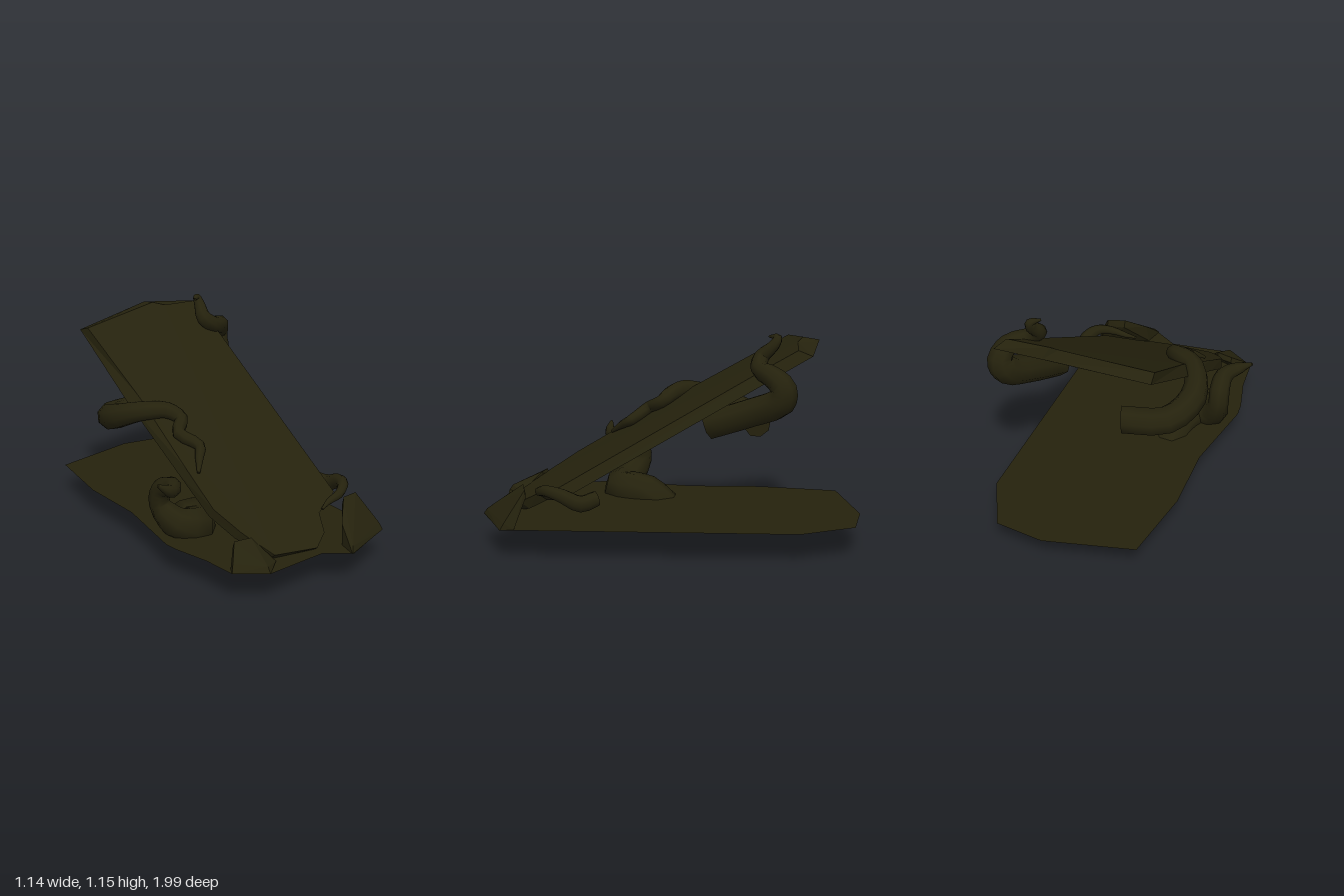
import * as THREE from 'three';
import { ConvexGeometry } from 'three/addons/geometries/ConvexGeometry.js';

const V = (a) => new THREE.Vector3(a[0], a[1], a[2]);

// Tapered tentacle: path points are [x, y, z, radius]; flat cap on the thick end
function tentacleGeometry(path, sides = 8) {
  const curve = new THREE.CatmullRomCurve3(path.map(V), false, 'centripetal');
  const steps = (path.length - 1) * 3;
  const pos = [], index = [];
  const last = path.length - 1;
  // carry one normal along the path so the tube does not twist
  const n = new THREE.Vector3(0.3, 1, 0.2);
  for (let i = 0; i <= steps; i++) {
    const center = curve.getPoint(i / steps);
    const t = curve.getTangent(i / steps);
    n.addScaledVector(t, -n.dot(t)).normalize();
    const b = new THREE.Vector3().crossVectors(t, n);
    const f = (i / steps) * last, k = Math.min(Math.floor(f), last - 1);
    const r = THREE.MathUtils.lerp(path[k][3], path[k + 1][3], f - k);
    for (let j = 0; j < sides; j++) {
      const a = (j / sides) * Math.PI * 2;
      const p = center.clone().addScaledVector(n, r * Math.cos(a)).addScaledVector(b, r * Math.sin(a));
      pos.push(p.x, p.y, p.z);
    }
  }
  for (let i = 0; i < steps; i++) {
    for (let j = 0; j < sides; j++) {
      const k = (j + 1) % sides;
      const a = i * sides + j, b = i * sides + k, c = b + sides, d = a + sides;
      index.push(a, b, c, a, c, d);
    }
  }
  // separate cap vertices keep the rims sharp
  for (const end of [0, steps]) {
    const s = pos.length / 3;
    for (let j = 0; j < sides; j++) {
      const o = (end * sides + j) * 3;
      pos.push(pos[o], pos[o + 1], pos[o + 2]);
    }
    for (let j = 1; j < sides - 1; j++) {
      if (end === 0) index.push(s, s + j + 1, s + j);
      else index.push(s, s + j, s + j + 1);
    }
  }
  const g = new THREE.BufferGeometry();
  g.setAttribute('position', new THREE.Float32BufferAttribute(pos, 3));
  g.setIndex(index);
  g.computeVertexNormals();
  return g;
}

// Tilted slab: rows are [top x, top z, bottom x, bottom z, drop], counterclockwise from above
function slabGeometry(rows) {
  const n = rows.length, pos = [], index = [];
  for (const [x, z, , , drop = 0] of rows) pos.push(x, 0.715 - 0.6 * z - drop, z);
  for (const [, , x, z, drop = 0] of rows) pos.push(x, 0.65 - 0.6 * z - drop, z);
  const cap = (o) => THREE.ShapeUtils.triangulateShape(rows.map((r) => new THREE.Vector2(r[o], -r[o + 1])), []);
  for (const [a, b, c] of cap(0)) index.push(a, b, c);
  for (const [a, b, c] of cap(2)) index.push(a + n, c + n, b + n);
  for (let i = 0; i < n; i++) {
    const j = (i + 1) % n;
    index.push(i + n, j + n, j, i + n, j, i);
  }
  const g = new THREE.BufferGeometry();
  g.setAttribute('position', new THREE.Float32BufferAttribute(pos, 3));
  g.setIndex(index);
  const flat = g.toNonIndexed();
  flat.computeVertexNormals();
  return flat;
}

export function createModel() {
  const group = new THREE.Group();
  const olive = new THREE.MeshStandardMaterial({ color: 0x25220d, side: THREE.DoubleSide });
  olive.name = 'dark olive';
  const add = (name, geometry) => {
    const mesh = new THREE.Mesh(geometry, olive);
    mesh.name = name;
    group.add(mesh);
  };

  // Flat ground sheet
  const outline = [
    [-0.33, -0.91], [-0.41, -0.49], [-0.415, -0.1], [-0.505, 0.34], [-0.5, 0.42], [-0.46, 0.62], [-0.45, 0.81],
    [-0.3, 0.92], [0.05, 0.895], [0.18, 0.99], [0.49, 0.86], [0.53, -0.66], [0.4, -0.95], [0.14, -1.0],
  ];
  const ground = new THREE.ShapeGeometry(new THREE.Shape(outline.map(([x, z]) => new THREE.Vector2(x, -z))));
  ground.rotateX(-Math.PI / 2).translate(0, 0.18, 0);
  add('groundSheet', ground);

  // Leaning slab with a chipped lower edge
  add('slab', slabGeometry([
    [-0.325, -0.63, -0.33, -0.7, 0.03],
    [-0.32, -0.15, -0.36, -0.22, 0.01],
    [-0.345, 0.3, -0.36, 0.25],
    [-0.35, 0.53, -0.355, 0.5],
    [-0.29, 0.68, -0.3, 0.64],
    [-0.2, 0.83, -0.2, 0.785],
    [0.05, 0.86, 0.055, 0.81],
    [0.15, 0.8, 0.155, 0.75],
    [0.2, 0.7, 0.2, 0.65],
    [0.37, 0.62, 0.41, 0.55],
    [0.41, -0.5, 0.46, -0.5],
    [0.43, -0.64, 0.47, -0.71],
    [0.2, -0.65, 0.2, -0.755],
    [0.14, -0.68, 0.14, -0.765],
  ]));

  // Leaning rock flakes at the foot of the slab
  const rocks = {
    leftRock: [
      [0.17, 0.18, 0.99], [0.5, 0.18, 0.86], [0.49, 0.215, 0.84], [0.19, 0.21, 0.97], [0.21, 0.29, 0.86],
      [0.31, 0.375, 0.76], [0.41, 0.37, 0.74], [0.31, 0.33, 0.75], [0.41, 0.33, 0.735],
      [0.2, 0.18, 0.88], [0.48, 0.18, 0.79],
    ],
    rightRock: [
      [-0.45, 0.18, 0.81], [-0.3, 0.18, 0.92], [-0.2, 0.19, 0.84], [-0.27, 0.295, 0.73], [-0.36, 0.29, 0.71],
      [-0.43, 0.22, 0.79], [-0.3, 0.21, 0.9], [-0.28, 0.26, 0.72], [-0.36, 0.26, 0.7],
      [-0.42, 0.18, 0.76], [-0.24, 0.18, 0.82],
    ],
  };
  for (const name in rocks) add(name, new ConvexGeometry(rocks[name].map(V)));

  // Tentacles curling around the slab, thick end first
  const tentacles = {
    upperLeftTentacle: [
      [0.34, 0.7, -0.2, 0.076], [0.42, 0.785, -0.42, 0.076], [0.485, 0.85, -0.55, 0.078], [0.507, 0.92, -0.565, 0.066],
      [0.48, 0.975, -0.51, 0.055], [0.4, 1.0, -0.45, 0.045], [0.335, 1.05, -0.46, 0.042], [0.35, 1.11, -0.52, 0.03],
      [0.345, 1.15, -0.54, 0.022], [0.305, 1.15, -0.5, 0.006],
    ],
    upperRightTentacle: [
      [-0.1, 0.61, -0.46, 0.075], [-0.32, 0.625, -0.41, 0.075], [-0.41, 0.68, -0.25, 0.07], [-0.36, 0.745, -0.08, 0.055],
      [-0.25, 0.75, 0.0, 0.046], [-0.205, 0.71, 0.06, 0.038], [-0.27, 0.665, 0.13, 0.034], [-0.205, 0.61, 0.22, 0.03],
      [-0.25, 0.57, 0.28, 0.022], [-0.3, 0.52, 0.34, 0.008],
    ],
    lowerRightTentacle: [
      [-0.2, 0.09, 0.02, 0.095], [-0.21, 0.19, 0.15, 0.105], [-0.28, 0.2, 0.28, 0.11], [-0.38, 0.24, 0.25, 0.085],
      [-0.43, 0.33, 0.18, 0.055], [-0.43, 0.42, 0.2, 0.055], [-0.43, 0.46, 0.29, 0.05], [-0.49, 0.475, 0.36, 0.035],
      [-0.565, 0.52, 0.36, 0.008],
    ],
    lowerLeftTentacle: [
      [0.43, 0.335, 0.37, 0.04], [0.47, 0.315, 0.45, 0.045], [0.47, 0.355, 0.54, 0.038], [0.43, 0.37, 0.62, 0.03],
      [0.36, 0.35, 0.67, 0.024], [0.28, 0.33, 0.68, 0.016], [0.22, 0.31, 0.7, 0.006],
    ],
  };
  for (const name in tentacles) add(name, tentacleGeometry(tentacles[name]));

  return group;
}
